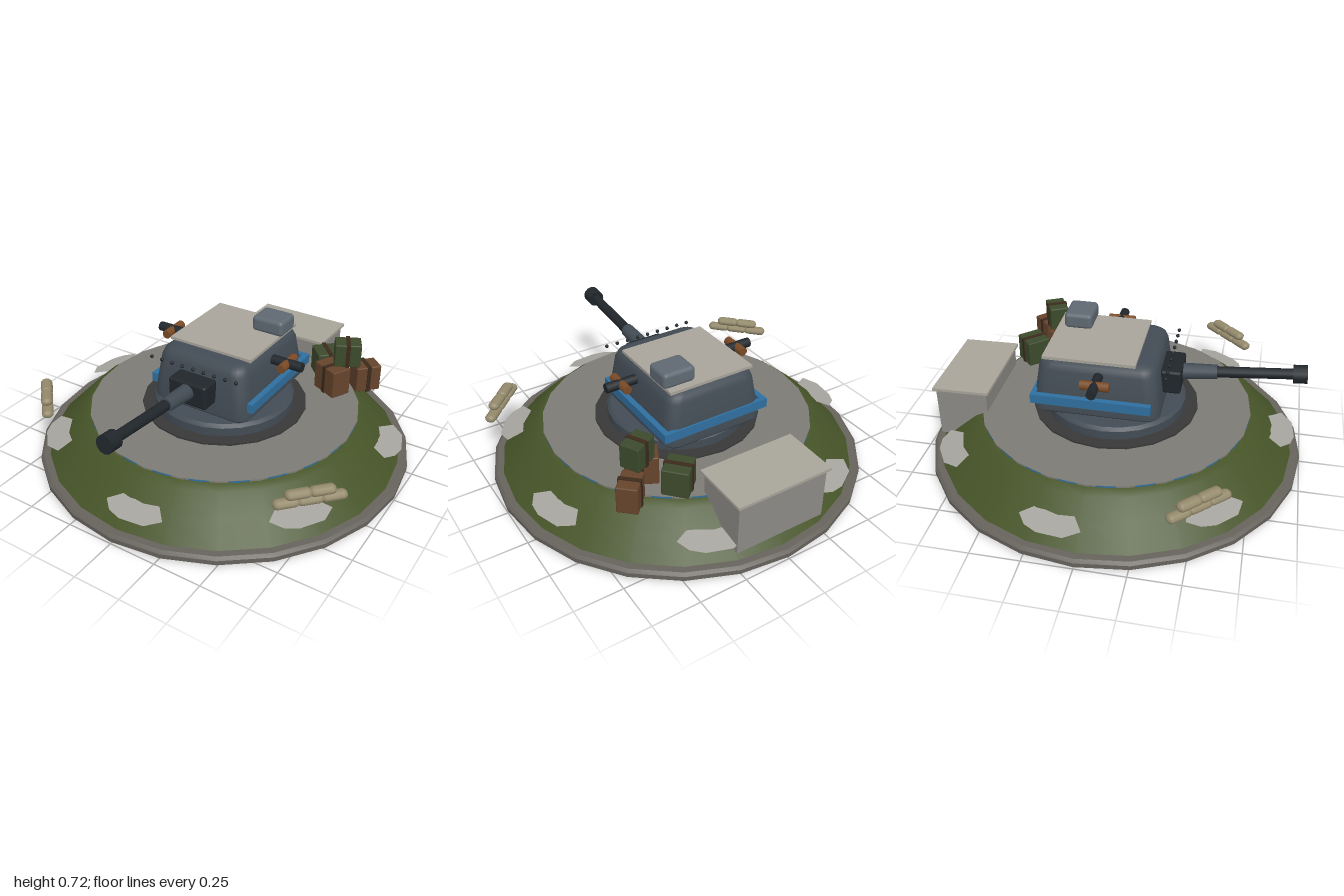
import * as THREE from 'three';
import { toCreasedNormals } from 'three/addons/utils/BufferGeometryUtils.js';
import { RoundedBoxGeometry } from 'three/addons/geometries/RoundedBoxGeometry.js';

const mat = (color, side = THREE.FrontSide) => new THREE.MeshStandardMaterial({ color, side });
const M = {
  rim: mat(0x66625c), grass: mat(0x465428), concrete: mat(0x7d7b75), blue: mat(0x2f6f9f),
  ring: mat(0x383838), steel: mat(0x424b54), hatch: mat(0x5f6972), gun: mat(0x20262b),
  plate: mat(0xa8a49a), patch: mat(0xa6a49e, THREE.DoubleSide), bunker: mat(0x8c8a85),
  brown: mat(0x66442c), green: mat(0x3c4a2c), strapDark: mat(0x3d2a1c), copper: mat(0x7a4a26),
  sand: mat(0x948a6c),
};

function add(parent, name, geo, material, x = 0, y = 0, z = 0) {
  const mesh = new THREE.Mesh(geo, material);
  mesh.name = name;
  mesh.position.set(x, y, z);
  parent.add(mesh);
  return mesh;
}

const box = (w, h, d) => new THREE.BoxGeometry(w, h, d);

// Surface of revolution from [radius, height] pairs
function lathe(points, segments, crease = 0.45) {
  const geo = new THREE.LatheGeometry(points.map(p => new THREE.Vector2(...p)), segments);
  return toCreasedNormals(geo, crease);
}

// Loft through rounded rectangles; each level is [y, halfWidth, halfDepth, cornerRadius]
function loft(levels, steps = 5) {
  const pos = [], idx = [], n = 4 * (steps + 1);
  for (const [y, hw, hd, r] of levels) {
    for (let c = 0; c < 4; c++) {
      const sx = c === 0 || c === 3 ? 1 : -1, sz = c < 2 ? 1 : -1;
      for (let s = 0; s <= steps; s++) {
        const a = (c + s / steps) * Math.PI / 2;
        pos.push(sx * (hw - r) + r * Math.cos(a), y, sz * (hd - r) + r * Math.sin(a));
      }
    }
  }
  for (let l = 0; l < levels.length - 1; l++) {
    for (let i = 0; i < n; i++) {
      const a = l * n + i, b = l * n + (i + 1) % n;
      idx.push(a, a + n, b, b, a + n, b + n);
    }
  }
  const top = (levels.length - 1) * n, centre = pos.length / 3;
  pos.push(0, levels[levels.length - 1][0], 0, 0, levels[0][0], 0);
  for (let i = 0; i < n; i++) {
    const j = (i + 1) % n;
    idx.push(centre, top + j, top + i, centre + 1, i, j);
  }
  const geo = new THREE.BufferGeometry();
  geo.setAttribute('position', new THREE.Float32BufferAttribute(pos, 3));
  geo.setIndex(idx);
  return toCreasedNormals(geo, 0.7);
}

function buildBase(root) {
  const base = new THREE.Group();
  base.name = 'base';
  root.add(base);
  add(base, 'rim', lathe([[0, 0], [0.985, 0], [1, 0.012], [1, 0.036], [0.985, 0.05], [0.9, 0.05]], 24), M.rim);
  add(base, 'mound', lathe([[0.965, 0.035], [0.94, 0.06], [0.85, 0.15], [0.76, 0.235], [0.72, 0.256], [0.7, 0.258]], 24, 1), M.grass);
  add(base, 'concreteApron', lathe([[0.72, 0.24], [0.72, 0.265], [0, 0.268]], 24), M.concrete);
  add(base, 'apronTrim', new THREE.CylinderGeometry(0.717, 0.717, 0.012, 48, 1, true), M.blue, 0, 0.258, 0);
  add(base, 'darkRing', lathe([[0.44, 0.255], [0.44, 0.276], [0, 0.276]], 20), M.ring);
  add(base, 'turretRing', lathe([[0.372, 0.265], [0.372, 0.322], [0.355, 0.338], [0, 0.338]], 24), M.steel);

  // Pale bare patches spread around the slope
  const outline = [[-0.16, 0.01], [-0.1, 0.07], [0.02, 0.05], [0.1, 0.065], [0.16, -0.01], [0.09, -0.065], [-0.04, -0.07], [-0.11, -0.045]];
  const patchGeo = new THREE.ShapeGeometry(new THREE.Shape(outline.map(p => new THREE.Vector2(...p))));
  patchGeo.rotateX(-Math.PI / 2 + 0.19);
  for (let i = 0; i < 7; i++) {
    const a = 0.07 + i * Math.PI * 2 / 7;
    add(base, 'barePatch', patchGeo, M.patch, 0.89 * Math.sin(a), 0.152, 0.89 * Math.cos(a)).rotation.y = a;
  }
}

function buildTurret(root) {
  const turret = new THREE.Group();
  turret.name = 'turret';
  root.add(turret);
  add(turret, 'turretBody', loft([
    [0.335, 0.27, 0.315, 0.06], [0.35, 0.284, 0.328, 0.07], [0.38, 0.284, 0.328, 0.07],
    [0.575, 0.256, 0.303, 0.07], [0.605, 0.245, 0.292, 0.07], [0.622, 0.225, 0.272, 0.06], [0.628, 0.2, 0.247, 0.05],
  ]), M.steel, 0, 0, -0.057);
  add(turret, 'roofPlate', box(0.48, 0.016, 0.475), M.plate, 0, 0.634, -0.095);
  add(turret, 'roofHatch', new RoundedBoxGeometry(0.18, 0.085, 0.15, 3, 0.022), M.hatch, 0.163, 0.678, -0.222);

  // Blue band along both sides and the rear
  for (const s of [-1, 1]) add(turret, 'sideBand', box(0.03, 0.05, 0.615), M.blue, s * 0.29, 0.424, -0.077);
  add(turret, 'rearBand', box(0.61, 0.05, 0.025), M.blue, 0, 0.424, -0.374);

  // Row of rivets
  for (let i = 0; i < 9; i++) {
    add(turret, 'rivet', new THREE.SphereGeometry(0.01, 8, 6), M.gun, -0.25 + i * 0.0625, 0.592, 0.295);
  }

  // Side sights: a dark tube crossed by a copper one
  for (const s of [-1, 1]) {
    const sight = new THREE.Group();
    sight.name = 'sideSight';
    sight.position.set(s * 0.35, 0.572, -0.038);
    turret.add(sight);
    add(sight, 'sightTube', new THREE.CylinderGeometry(0.026, 0.026, 0.17, 8), M.gun).rotation.z = Math.PI / 2;
    add(sight, 'sightLens', new THREE.CylinderGeometry(0.024, 0.024, 0.145, 10), M.copper).rotation.x = Math.PI / 2;
  }

  // Gun, raised a little
  add(turret, 'mantlet', new RoundedBoxGeometry(0.22, 0.13, 0.11, 2, 0.015), M.gun, 0, 0.48, 0.3);
  const gun = new THREE.Group();
  gun.name = 'gun';
  gun.position.set(0, 0.493, 0.34);
  gun.rotation.x = Math.PI / 2 - 0.09;
  turret.add(gun);
  const tube = (name, r0, r1, from, to, m) =>
    add(gun, name, new THREE.CylinderGeometry(r1, r0, to - from, 12), m, 0, (from + to) / 2, 0);
  tube('gunSleeve', 0.044, 0.037, -0.03, 0.19, M.steel);
  tube('barrel', 0.029, 0.027, 0.15, 0.6, M.gun);
  tube('muzzle', 0.047, 0.047, 0.57, 0.64, M.gun);
}

function buildBunker(root) {
  const bunker = new THREE.Group();
  bunker.name = 'rearBunker';
  root.add(bunker);
  add(bunker, 'bunkerBody', box(0.5, 0.28, 0.275), M.bunker, 0, 0.237, -0.783);
  add(bunker, 'bunkerLid', box(0.53, 0.015, 0.305), M.plate, 0, 0.383, -0.783).rotation.x = -0.02;
}

function buildCrates(root) {
  // x, bottom y, z, width, height, depth, turn, green?
  const crates = [
    [0.335, 0.265, -0.555, 0.14, 0.145, 0.135, 0.75, true],
    [0.445, 0.265, -0.395, 0.165, 0.155, 0.115, -0.47, false],
    [0.58, 0.26, -0.53, 0.14, 0.145, 0.105, 0.82, false],
    [0.497, 0.42, -0.455, 0.14, 0.13, 0.105, 0.48, true],
  ];
  for (const [x, y, z, w, h, d, turn, green] of crates) {
    const crate = new THREE.Group();
    crate.name = 'crate';
    crate.position.set(x, y + h / 2, z);
    crate.rotation.y = turn;
    root.add(crate);
    add(crate, 'crateBody', new RoundedBoxGeometry(w, h, d, 1, 0.006), green ? M.green : M.brown);
    add(crate, 'crateStrap', box(0.022, h + 0.008, d + 0.008), M.strapDark);
  }
}

function buildSandbags(root) {
  const bagGeo = new THREE.CapsuleGeometry(0.024, 0.08, 5, 10);
  bagGeo.rotateZ(Math.PI / 2);
  bagGeo.scale(1, 0.95, 1.25);
  for (const s of [-1, 1]) {
    const pile = new THREE.Group();
    pile.name = 'sandbagPile';
    pile.position.set(s * 0.785, 0.288, 0.535);
    pile.rotation.y = s * 0.81;
    root.add(pile);
    for (const t of [-0.113, 0, 0.113]) add(pile, 'sandbag', bagGeo, M.sand, t, 0, 0);
    for (const t of [-0.057, 0.057]) add(pile, 'sandbag', bagGeo, M.sand, t, 0.041, 0);
  }
}

export function createModel() {
  const root = new THREE.Group();
  root.name = 'gunEmplacement';
  buildBase(root);
  buildTurret(root);
  buildBunker(root);
  buildCrates(root);
  buildSandbags(root);
  return root;
}
